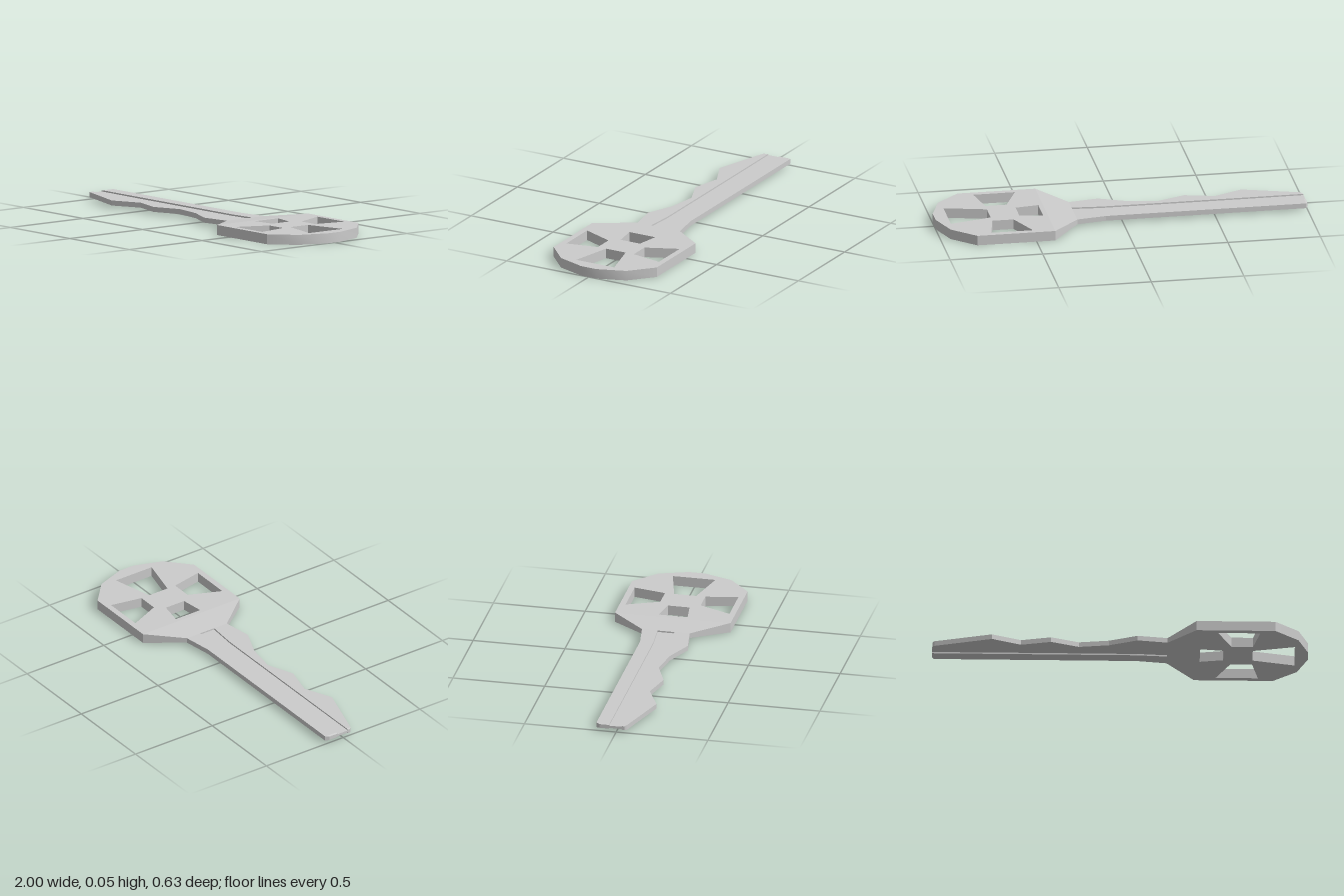
import * as THREE from 'three';
import { toCreasedNormals } from 'three/addons/utils/BufferGeometryUtils.js';

const MID = 0.027;     // height of the key's middle plane
const BOW = 0.027;     // half thickness of the bow
const BLADE = 0.0135;  // half thickness of the blade

// Joins cross-sections along x. Each holds x and its upper outline of [z, height
// above the middle plane], back to front; the underside is its mirror image.
function loft(sections) {
  const rings = sections.map(({ x, top }) => [
    ...top.map(([z, h]) => [x, MID + h, z]),
    ...top.map(([z, h]) => [x, MID - h, z]).reverse(),
  ]);
  const pos = [];
  const quad = (a, b, c, d) => pos.push(...a, ...b, ...c, ...a, ...c, ...d);
  const n = rings[0].length;
  for (let i = 0; i < rings.length - 1; i++) {
    const p = rings[i], q = rings[i + 1];
    for (let j = 0; j < n; j++) {
      const k = (j + 1) % n;
      quad(p[j], p[k], q[k], q[j]);
    }
  }
  // end caps, in strips between upper and lower outline
  const first = rings[0], last = rings[rings.length - 1];
  for (let j = 0; j < n / 2 - 1; j++) {
    quad(last[j], last[j + 1], last[n - 2 - j], last[n - 1 - j]);
    quad(first[n - 1 - j], first[n - 2 - j], first[j + 1], first[j]);
  }
  const geo = new THREE.BufferGeometry();
  geo.setAttribute('position', new THREE.Float32BufferAttribute(pos, 3));
  geo.computeVertexNormals();
  return geo;
}

// Points are [x, z]; shapes are drawn with y = -z and laid flat afterwards
const toPoints = (pts) => pts.map(([x, z]) => new THREE.Vector2(x, -z));

export function createModel() {
  const key = new THREE.Group();
  key.name = 'key';
  const material = new THREE.MeshStandardMaterial({ color: 0xcccccc });
  const add = (name, geometry) => {
    const mesh = new THREE.Mesh(geometry, material);
    mesh.name = name;
    key.add(mesh);
  };

  // Blade with cut teeth on the front edge and a groove on both faces:
  // x, back edge, front edge, half thickness, groove depth
  const stations = [
    [-1, -0.09, 0.045, 0.0105, 0.004],
    [-0.99, -0.11, 0.055, BLADE, 0.007],
    [-0.685, -0.11, 0.15, BLADE, 0.008],
    [-0.53, -0.11, 0.08, BLADE, 0.008],
    [-0.37, -0.11, 0.12, BLADE, 0.008],
    [-0.22, -0.11, 0.06, BLADE, 0.008],
    [-0.06, -0.11, 0.085, BLADE, 0.008],
    [0.09, -0.11, 0.15, BLADE, 0.008],
    [0.25, -0.135, 0.125, BLADE, 0.008],
  ];
  add('blade', loft(stations.map(([x, back, front, h, depth]) => {
    const flare = x > 0.2 ? 0.012 : 0; // groove widens towards the bow
    const g0 = -0.038 - flare, g1 = 0.03 + flare;
    return {
      x,
      top: [[back, h], [g0, h], [g0, h - depth], [g1, h - depth], [g1, h], [front, h]],
    };
  })));

  // Neck swelling from blade to bow thickness
  add('neck', loft([
    { x: 0.25, top: [[-0.135, BLADE], [0.125, BLADE]] },
    { x: 0.4, top: [[-0.315, BOW], [0.315, BOW]] },
  ]));

  // Bow with four tapered windows around a solid hub
  const half = [[0.4, 0.315], [0.82, 0.315], [0.945, 0.2], [1, 0.045]];
  const mirrorZ = (pts) => pts.map(([x, z]) => [x, -z]).reverse();
  const bow = new THREE.Shape(toPoints([...half, ...mirrorZ(half)]));
  const sideWindow = [[0.515, 0.283], [0.74, 0.283], [0.705, 0.11], [0.59, 0.11]];
  const windows = [
    sideWindow,
    mirrorZ(sideWindow),
    [[0.425, -0.083], [0.55, -0.06], [0.55, 0.058], [0.425, 0.075]],
    [[0.705, -0.06], [0.93, -0.117], [0.93, 0.115], [0.705, 0.06]],
  ];
  windows.forEach((w) => bow.holes.push(new THREE.Path(toPoints(w))));
  const bowGeo = new THREE.ExtrudeGeometry(bow, { depth: BOW * 2, bevelEnabled: false });
  bowGeo.rotateX(-Math.PI / 2);
  add('bow', toCreasedNormals(bowGeo, Math.PI / 6));

  return key;
}
